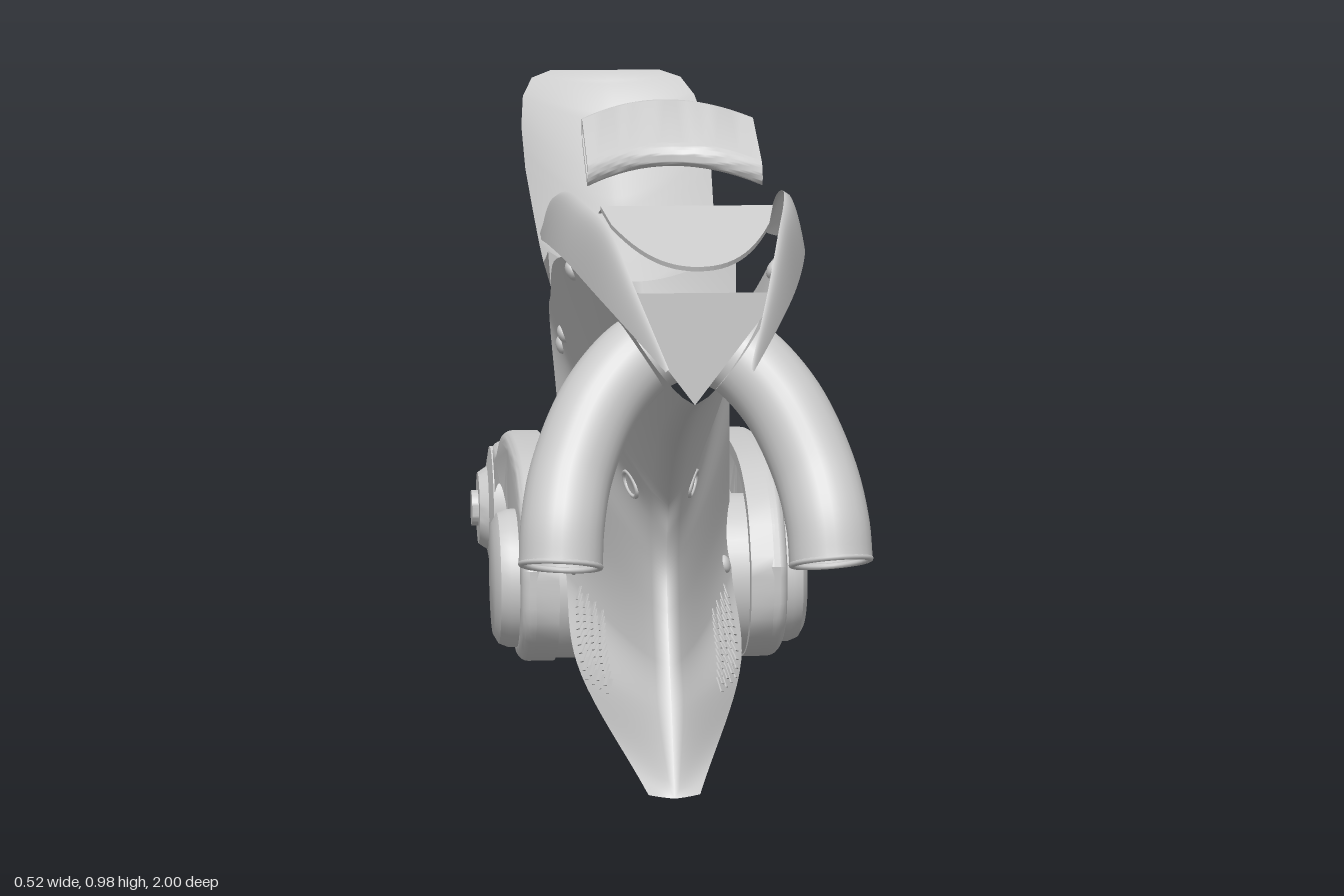
import * as THREE from 'three';
import { toCreasedNormals } from 'three/addons/utils/BufferGeometryUtils.js';
import { ParametricGeometry } from 'three/addons/geometries/ParametricGeometry.js';

const grey = new THREE.MeshStandardMaterial({ color: 0xcccccc });
const thin = new THREE.MeshStandardMaterial({ color: 0xcccccc, side: THREE.DoubleSide });

const add = (parent, name, geo, mat = grey) => {
  const m = new THREE.Mesh(geo, mat);
  m.name = name;
  parent.add(m);
  return m;
};
const pair = (parent, name, geo, mat = grey) => {
  add(parent, name + 'Left', geo, mat);
  add(parent, name + 'Right', geo, mat).scale.x = -1;
};
const curve = (pts) => new THREE.CatmullRomCurve3(pts.map((p) => new THREE.Vector3(...p)), false, 'centripetal');
// surface spanned between two curves, bulging sideways by the power k
const span = (a, b, k = 1) => (u, s, out) => {
  const p = a.getPoint(u), q = b.getPoint(u);
  const x = p.x + (q.x - p.x) * Math.pow(s, k);
  return out.lerpVectors(p, q, s).setX(x);
};
// turned part along the x axis, profile as [radius, x]
const turned = (pts, seg = 40) => toCreasedNormals(
  new THREE.LatheGeometry(pts.map((p) => new THREE.Vector2(...p)), seg).rotateZ(-Math.PI / 2), 0.6);

// keel line and outer edge of the hull shell, station by station
const keel = curve([[0, 0.61, 0.77], [0, 0.56, 0.6], [0, 0.48, 0.41], [0, 0.395, 0.3], [0, 0.35, 0.28],
  [0, 0.3, 0.27], [0, 0.24, 0.29], [0, 0.17, 0.33], [0, 0.11, 0.37], [0, 0.005, 0.43]]);
const rim = curve([[0.11, 0.755, 0.77], [0.137, 0.765, 0.5], [0.155, 0.728, 0.2], [0.15, 0.655, -0.02], [0.14, 0.575, -0.28],
  [0.13, 0.42, -0.2], [0.13, 0.29, -0.19], [0.125, 0.22, -0.1], [0.12, 0.13, 0.12], [0.036, 0.008, 0.42]]);
const hullAt = span(keel, rim, 0.72);

function buildHull(front) {
  pair(front, 'hullSide', new ParametricGeometry(hullAt, 90, 14), thin);

  // belly panels, leaving a slit along the middle
  const bellyOuter = { getPoint: (u) => rim.getPoint(7 / 9 + u * 2 / 9) };
  const bellyInner = curve([[0.01, 0.21, -0.02], [0.008, 0.14, 0.15], [0.0, 0.07, 0.28], [0, 0.006, 0.425]]);
  pair(front, 'bellyPanel', new ParametricGeometry(span(bellyOuter, bellyInner), 20, 4), thin);

  // wedge closing the nose
  const wedge = new THREE.Shape([[-0.11, 0.755], [0, 0.61], [0.11, 0.755]].map((p) => new THREE.Vector2(...p)));
  add(front, 'noseWedge', new THREE.ShapeGeometry(wedge).translate(0, 0, 0.77), thin);

  // small parts sitting on the shell at station u, height s
  const p = new THREE.Vector3(), pu = new THREE.Vector3(), ps = new THREE.Vector3();
  const onHull = (name, u, s, geo) => {
    hullAt(u, s, p); hullAt(u + 0.005, s, pu); hullAt(u, s - 0.01, ps);
    const n = pu.sub(p).cross(ps.sub(p)).normalize();
    if (n.x < 0) n.negate();
    const q = new THREE.Quaternion().setFromUnitVectors(new THREE.Vector3(0, 0, 1), n);
    pair(front, name, geo.applyQuaternion(q).translate(p.x, p.y, p.z));
  };
  [[0.16, 0.92], [0.385, 0.84], [0.435, 0.86], [0.735, 0.84]].forEach(([u, s]) =>
    onHull('bolt', u, s, new THREE.SphereGeometry(0.014, 16, 10).scale(1, 1, 0.6)));
  onHull('duct', 0.43, 0.2, new THREE.TorusGeometry(0.024, 0.004, 8, 24).scale(1.3, 0.7, 1));

  // rows of small slats forming the lower vents
  for (let r = 0; r < 4; r++) {
    for (let i = 0; i < 11; i++) {
      onHull('ventSlat', 0.785 + i * 0.0105, 0.56 + r * 0.09, new THREE.BoxGeometry(0.007, 0.022, 0.004));
    }
  }
}

function buildNose(front) {
  // leaf-shaped side fins, steep with a rolled top edge
  const finTop = curve([[0.05, 0.69, 1], [0.08, 0.765, 0.89], [0.106, 0.83, 0.77], [0.13, 0.85, 0.6],
    [0.145, 0.852, 0.45], [0.155, 0.825, 0.25], [0.161, 0.775, 0.08], [0.164, 0.747, -0.02]]);
  const finBottom = curve([[0.054, 0.687, 1], [0.094, 0.725, 0.89], [0.128, 0.755, 0.77], [0.158, 0.778, 0.6],
    [0.172, 0.78, 0.45], [0.174, 0.765, 0.25], [0.168, 0.75, 0.08], [0.165, 0.743, -0.02]]);
  pair(front, 'sideFin', new ParametricGeometry(span(finTop, finBottom, 0.45), 50, 12), thin);

  // folded windscreen: sloping tongue in front, arched deck behind
  const tongue = new THREE.Shape();
  tongue.moveTo(-0.11, 0);
  tongue.lineTo(0.11, 0);
  tongue.lineTo(0.1, 0.06);
  tongue.bezierCurveTo(0.07, 0.16, 0.04, 0.2, 0, 0.2);
  tongue.bezierCurveTo(-0.04, 0.2, -0.07, 0.16, -0.1, 0.06);
  add(front, 'windscreen', new THREE.ExtrudeGeometry(tongue, { depth: 0.006, bevelEnabled: false })
    .rotateX(Math.PI / 2 + 0.28).translate(-0.01, 0.866, 0.76));
  add(front, 'noseDeck', new ParametricGeometry((u, v, t) => {
    const a = u * 2 - 1;
    t.set(a * 0.11 - 0.01, 0.862 - 0.012 * v, 0.76 - v * (0.06 + 0.07 * (1 - a * a)));
  }, 16, 4), thin);

  // floating visor: a flat hollow band, bowed back in the middle
  const oval = (path, l, r) => path.absarc(l, 0, r, -Math.PI / 2, Math.PI / 2).absarc(-l, 0, r, Math.PI / 2, Math.PI * 1.5).closePath();
  const band = oval(new THREE.Shape(), 0.06, 0.015);
  band.holes.push(oval(new THREE.Path(), 0.056, 0.009));
  const visor = new THREE.ExtrudeGeometry(band, { depth: 0.226, steps: 16, bevelEnabled: false }).rotateY(-Math.PI / 2);
  const pos = visor.attributes.position;
  for (let i = 0; i < pos.count; i++) {
    const x = pos.getX(i) + 0.113;
    const z = 0.568 + pos.getZ(i) + 0.055 * Math.pow(x / 0.113, 2);
    pos.setXYZ(i, x - 0.02, pos.getY(i) + 0.968 - (z - 0.5) * 0.37, z);
  }
  add(front, 'visor', toCreasedNormals(visor, 0.6), thin);

  // bent fork pipes, open at the ends
  const path = curve([[0.03, 0.675, 0.65], [0.07, 0.655, 0.67], [0.12, 0.6, 0.7], [0.157, 0.52, 0.74],
    [0.171, 0.455, 0.778], [0.174, 0.408, 0.793]]);
  pair(front, 'forkPipe', new THREE.TubeGeometry(path, 40, 0.054, 28), thin);
  const end = path.getPoint(1), dir = path.getTangent(1);
  const lip = new THREE.TorusGeometry(0.051, 0.004, 8, 28)
    .applyQuaternion(new THREE.Quaternion().setFromUnitVectors(new THREE.Vector3(0, 0, 1), dir))
    .translate(end.x, end.y, end.z);
  pair(front, 'pipeLip', lip);
}

function buildSeat(root) {
  // stations: z, rim height, underside height, half width, backward sweep of the middle
  const rows = [[-0.10, 0.635, 0.62, 0.138, 0.14], [-0.13, 0.705, 0.6, 0.141, 0.125], [-0.2, 0.685, 0.568, 0.14, 0.08],
    [-0.285, 0.67, 0.542, 0.137, 0.02], [-0.36, 0.69, 0.562, 0.138, 0], [-0.43, 0.73, 0.592, 0.142, 0],
    [-0.52, 0.79, 0.637, 0.148, 0], [-0.61, 0.85, 0.69, 0.148, 0], [-0.69, 0.892, 0.765, 0.14, 0],
    [-0.74, 0.918, 0.85, 0.122, 0], [-0.765, 0.928, 0.905, 0.09, 0]];
  const n = rows.length - 1;
  const lerpRow = (v) => {
    const i = Math.min(n - 1, Math.floor(v * n)), f = v * n - i;
    return rows[i].map((c, k) => c + (rows[i + 1][k] - c) * f);
  };
  const skin = (top) => (u, v, t) => {
    const [z, rimY, low, w, sweep] = lerpRow(v);
    const c = u * 2 - 1, d = 1 - Math.abs(c) ** 1.6;
    const depth = rimY - low, dish = 0.6 * Math.min(1, (1 - v) * 2.8);
    const y = top ? rimY - depth * dish * d : rimY - depth * (1 - c ** 4);
    return t.set(c * w, y, z - sweep * (1 - Math.abs(c)));
  };
  const seat = new THREE.Group();
  seat.name = 'seat';
  seat.position.x = -0.016;
  add(seat, 'seatTop', new ParametricGeometry(skin(true), 28, 50), thin);
  add(seat, 'seatUnderside', new ParametricGeometry(skin(false), 28, 50), thin);
  // end strips between the two skins at the front and at the tail
  const hi = skin(true), lo = skin(false), q = new THREE.Vector3();
  for (const v of [0, 1]) {
    add(seat, 'seatEnd', new ParametricGeometry((u, s, t) => hi(u, v, t).lerp(lo(u, v, q), s), 28, 1), thin);
  }
  root.add(seat);
}

function buildRear(root) {
  const rear = new THREE.Group();
  rear.name = 'rearSwingArms';
  // arm outline with a long slot, drawn as (-z, y)
  const loop = (pts) => new THREE.SplineCurve([...pts, pts[0]].map((p) => new THREE.Vector2(...p))).getPoints(72).slice(0, -1);
  const inset = (pts, d) => pts.map((p, i) => {
    const t = pts[(i + 1) % pts.length].clone().sub(pts[(i + pts.length - 1) % pts.length]).normalize();
    return new THREE.Vector2(p.x + t.y * d, p.y - t.x * d);
  });
  const outline = loop([[0.093, 0.225], [0.145, 0.305], [0.26, 0.355], [0.45, 0.364], [0.61, 0.346], [0.745, 0.292],
    [0.86, 0.288], [0.935, 0.23], [0.935, 0.15], [0.87, 0.1], [0.79, 0.11], [0.68, 0.156], [0.5, 0.142], [0.37, 0.105],
    [0.26, 0.067], [0.16, 0.09], [0.1, 0.145]]);
  const slot = loop([[0.39, 0.222], [0.46, 0.258], [0.6, 0.264], [0.73, 0.23], [0.79, 0.185], [0.6, 0.222]]);
  const face = new THREE.Shape(inset(outline, 0.01));
  face.holes.push(new THREE.Path(inset(slot, -0.006)));
  const flange = new THREE.Shape(inset(outline, -0.009));
  flange.holes.push(new THREE.Path(inset(outline, 0.01)));
  const extrude = (shape, x, opts) => toCreasedNormals(
    new THREE.ExtrudeGeometry(shape, opts).rotateY(Math.PI / 2).translate(x, 0, 0), 0.5);
  // channel-shaped arms: rounded outer plate plus a rim, open on the inside
  pair(rear, 'swingArmPlate', extrude(face, 0.18, { depth: 0.004, bevelThickness: 0.018, bevelSize: 0.019, bevelSegments: 5 }));
  pair(rear, 'swingArmRim', extrude(flange, 0.145, { depth: 0.037, bevelEnabled: false }));

  const pivot = [0, 0.19, -0.225], hub = [0, 0.187, -0.845];
  pair(rear, 'pivotCap', turned([[0.106, 0.19], [0.106, 0.215], [0.1, 0.23], [0.086, 0.238], [0, 0.24]]).translate(...pivot));
  add(rear, 'pivotDrum', turned([[0, -0.175], [0.124, -0.175], [0.124, 0.175], [0, 0.175]]).translate(...pivot));

  // large stepped disc on the left, small cupped hub on the right
  add(rear, 'brakeDisc', turned([[0.027, 0.19], [0.098, 0.19], [0.108, 0.145], [0.156, 0.145], [0.156, 0.166], [0.122, 0.172],
    [0.114, 0.204], [0.08, 0.21], [0.073, 0.23], [0.045, 0.233], [0.045, 0.243], [0.024, 0.243], [0.024, 0.26], [0, 0.26]]), thin)
    .position.set(...hub);
  const small = add(rear, 'smallHub', turned([[0.027, 0.17], [0.088, 0.17], [0.092, 0.14], [0.1, 0.14], [0.104, 0.204],
    [0.07, 0.21], [0.06, 0.225], [0.03, 0.225], [0.03, 0.236], [0, 0.236]]), thin);
  small.position.set(...hub);
  small.scale.x = -1;
  for (const [x0, x1] of [[-0.18, -0.05], [0.08, 0.2]]) {
    add(rear, 'axleStub', turned([[0, x0], [0.028, x0], [0.028, x1], [0, x1]], 24)).position.set(...hub);
  }
  root.add(rear);
}

export function createModel() {
  const root = new THREE.Group();
  root.name = 'motorcycleBodywork';
  // front bodywork is turned slightly to one side
  const front = new THREE.Group();
  front.name = 'frontBodywork';
  front.position.x = -0.012;
  front.rotation.y = -0.03;
  buildHull(front);
  buildNose(front);
  root.add(front);
  buildSeat(root);
  buildRear(root);
  return root;
}
